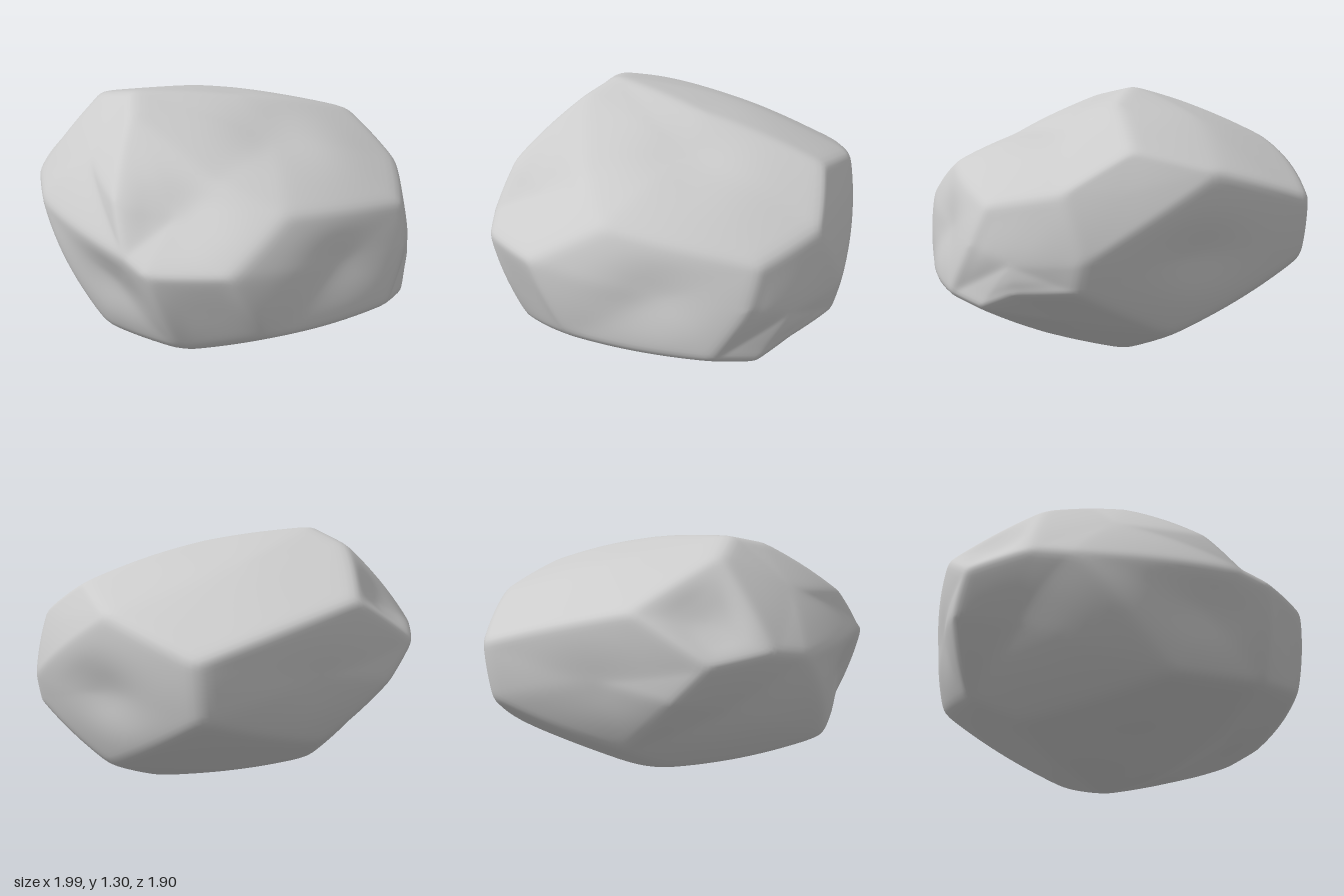
import * as THREE from 'three';
import { mergeVertices } from 'three/addons/utils/BufferGeometryUtils.js';

// Corners where the ridges of the boulder meet
const corners = {
  a: [-0.33, 1.315, 0.31], a2: [-0.2, 1.27, 0.45], am: [0.35, 1.06, 0.43], aj: [0.05, 0.98, 0.84],
  ab: [0.02, 1.25, -0.14], b: [0.28, 1.07, -0.75], c: [-0.1, 0.96, -0.94], d: [-0.66, 0.8, -0.9],
  e: [-0.95, 1.03, -0.1], f: [-0.56, 1.25, 0.29], g: [-1, 0.78, 0.3], g2: [-0.99, 0.6, 0.13],
  h: [-0.77, 0.815, 0.59], i: [-0.6, 0.77, 0.73], j: [0.2, 0.77, 0.94], k: [0.36, 0.72, 0.95],
  l: [0.7, 0.74, 0.72], m: [0.73, 0.94, 0.34], n: [0.89, 0.81, -0.4], nq: [0.96, 0.6, -0.34],
  o: [0.64, 0.88, -0.7], p: [0.79, 0.37, 0.53], q: [0.99, 0.34, -0.16], r: [0.93, 0.3, -0.38],
  r2: [0.83, 0.385, -0.56], s: [0.41, 0.26, 0.77], u: [-0.1, 0.22, 0.77], v1: [0.59, 0.55, -0.83],
  v2: [0.6, 0.41, -0.79], w: [0.07, 0.15, -0.78], x1: [-0.65, 0.5, -0.86], x2: [-0.78, 0.3, -0.15],
  y: [-0.55, 0.15, 0.02], t1: [0.53, 0.12, -0.31], t2: [0.12, 0.01, -0.41], t3: [0.24, 0.01, -0.12],
};

// Facets: corner loop and depth of the worn hollow in the middle (negative swells)
const facets = [
  ['a f e d c b ab', -0.01],   // broad top
  ['a a2 am m n o b ab', 0.05], // sloping top
  ['a2 aj j k l m am', 0.06],  // upper front, left
  ['a a2 aj j i h f', 0],      // upper front, right
  ['f h g e', 0.05],           // right shoulder
  ['e g g2 x2 x1 d', 0.02],    // right flank
  ['g h i u y x2 g2', 0.02],   // lower right
  ['i j k s u', 0.05],         // front
  ['k l p s', 0.01],           // front corner
  ['l m n nq q p', 0.04],      // left flank
  ['n o v1 v2 r2 r q nq', -0.02], // back corner
  ['b o v1 c', 0],             // upper back
  ['c v1 v2 w x1 d', 0.05],    // back
  ['v2 r2 r t1 t2 w', 0.01],   // lower back
  ['p q r t1 t2 t3 s', 0.05],  // underside, left
  ['u s t3 t2 y', 0.02],       // underside, middle
  ['w x1 x2 y t2', 0.02],      // underside, back
];

const CENTRE = new THREE.Vector3(0, 0.65, 0);
const RADII = new THREE.Vector3(1, 0.66, 0.95);
const STEPS = 14;
const BULGE = 0.35;
const HOLLOW = 0.22;

// Points of one wedge (centre, corner, corner), swollen between flat and round
function wedge(mid, midR, A, B, depth, out) {
  const point = (i, j) => {
    const wa = i / STEPS, wb = j / STEPS, wm = (STEPS - i - j) / STEPS;
    const v = new THREE.Vector3().addScaledVector(mid, wm).addScaledVector(A, wa).addScaledVector(B, wb);
    const round = midR * wm + A.length() * wa + B.length() * wb;
    const rho = v.distanceTo(mid) / HOLLOW;
    const hollow = depth * Math.exp(-rho * rho) * THREE.MathUtils.smoothstep(wm, 0, 0.5);
    const radius = THREE.MathUtils.lerp(v.length(), round, BULGE) - hollow;
    return v.setLength(radius).multiply(RADII).add(CENTRE);
  };
  const outward = new THREE.Vector3().crossVectors(A, B).dot(mid) > 0;
  const tri = (p, q, r) => {
    for (const v of outward ? [p, q, r] : [p, r, q]) out.push(v.x, v.y, v.z);
  };
  for (let i = 0; i < STEPS; i++) {
    for (let j = 0; j < STEPS - i; j++) {
      tri(point(i, j), point(i + 1, j), point(i, j + 1));
      if (i + j < STEPS - 1) tri(point(i + 1, j), point(i + 1, j + 1), point(i, j + 1));
    }
  }
}

// Soften the ridges by averaging each vertex with its neighbours
function soften(geometry, passes) {
  const pos = geometry.attributes.position, index = geometry.index.array;
  const near = Array.from({ length: pos.count }, () => new Set());
  for (let t = 0; t < index.length; t += 3) {
    for (let k = 0; k < 3; k++) {
      near[index[t + k]].add(index[t + (k + 1) % 3]).add(index[t + (k + 2) % 3]);
    }
  }
  const at = (i) => new THREE.Vector3().fromBufferAttribute(pos, i);
  for (let n = 0; n < passes; n++) {
    const moved = near.map((set, i) => {
      const mean = new THREE.Vector3();
      set.forEach((k) => mean.add(at(k)));
      return at(i).lerp(mean.divideScalar(set.size), 0.6);
    });
    moved.forEach((v, i) => pos.setXYZ(i, v.x, v.y, v.z));
  }
}

export function createModel() {
  // Corners relative to the ellipsoid, a little proud to allow for softening
  const unit = {};
  for (const [key, xyz] of Object.entries(corners)) {
    unit[key] = new THREE.Vector3(...xyz).sub(CENTRE).divide(RADII).multiplyScalar(1.008);
  }

  const out = [];
  for (const [loop, depth] of facets) {
    const ring = loop.split(' ').map((key) => unit[key]);
    const mid = new THREE.Vector3();
    let midR = 0;
    for (const v of ring) {
      mid.addScaledVector(v, 1 / ring.length);
      midR += v.length() / ring.length;
    }
    ring.forEach((v, i) => wedge(mid, midR, v, ring[(i + 1) % ring.length], depth, out));
  }

  let geometry = new THREE.BufferGeometry();
  geometry.setAttribute('position', new THREE.Float32BufferAttribute(out, 3));
  geometry = mergeVertices(geometry, 1e-4);
  soften(geometry, 3);

  // Stand on the ground, centred
  geometry.computeBoundingBox();
  const mid = geometry.boundingBox.getCenter(new THREE.Vector3());
  geometry.translate(-mid.x, -geometry.boundingBox.min.y, -mid.z);
  geometry.computeVertexNormals();

  const boulder = new THREE.Mesh(geometry, new THREE.MeshStandardMaterial({ color: 0xcccccc }));
  boulder.name = 'boulder';
  const model = new THREE.Group();
  model.name = 'rock';
  model.add(boulder);
  return model;
}
